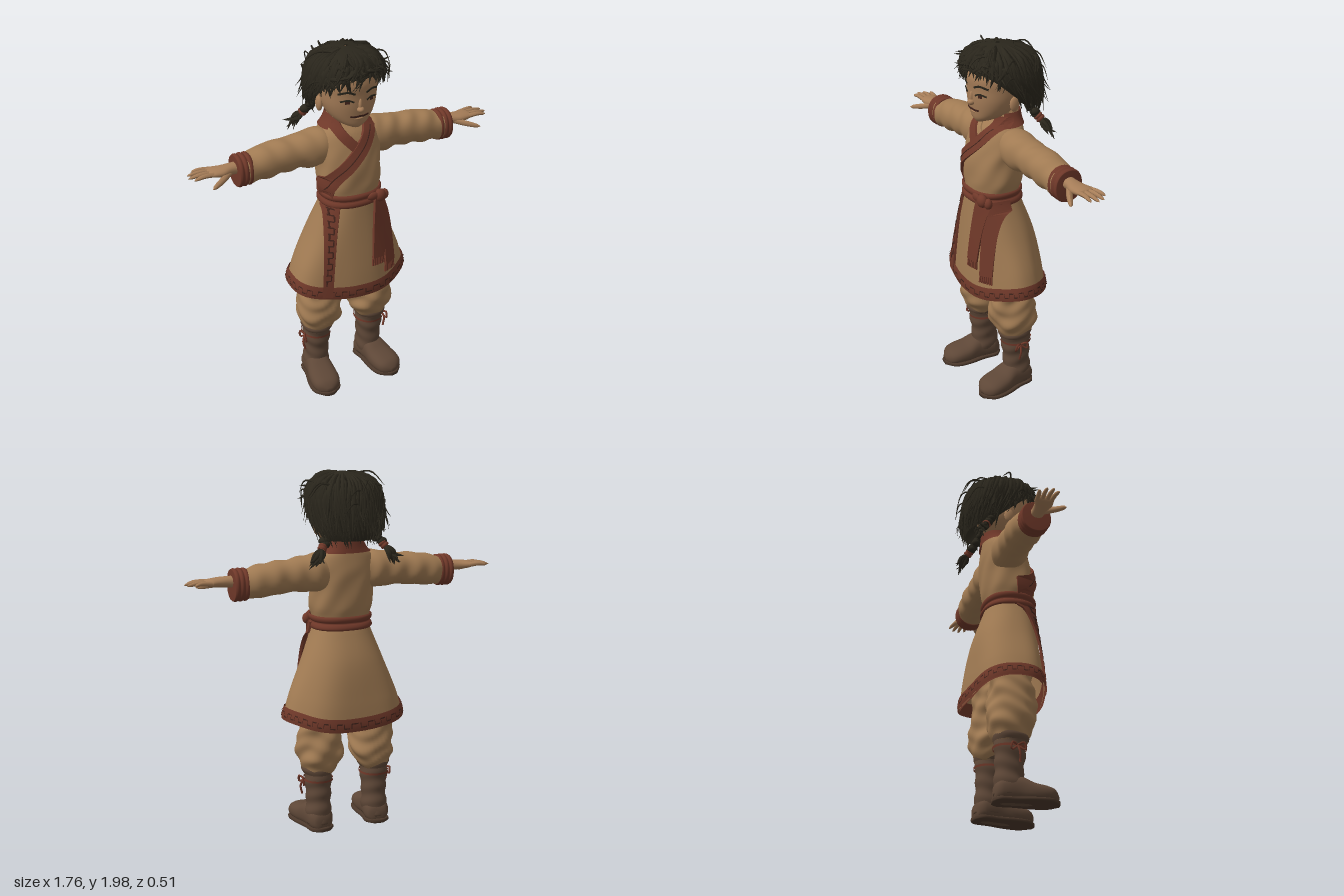
import * as THREE from 'three';
import { mergeGeometries, toCreasedNormals } from 'three/addons/utils/BufferGeometryUtils.js';

const V = (x, y, z) => new THREE.Vector3(x, y, z);
const mat = (name, color) => new THREE.MeshStandardMaterial({ name, color, side: THREE.DoubleSide });
const smooth = THREE.MathUtils.smoothstep;

// Grid of points fn(u, v); wrap closes it around u
function grid(fn, nu, nv, wrap = false) {
  const pos = [], idx = [], w = wrap ? nu : nu + 1;
  for (let j = 0; j <= nv; j++) for (let i = 0; i < w; i++) pos.push(...fn(i / nu, j / nv).toArray());
  for (let j = 0; j < nv; j++) for (let i = 0; i < nu; i++) {
    const k = (i + 1) % w, a = j * w + i, b = j * w + k, c = a + w, d = b + w;
    idx.push(a, c, b, b, c, d);
  }
  const g = new THREE.BufferGeometry();
  g.setAttribute('position', new THREE.Float32BufferAttribute(pos, 3));
  g.setIndex(idx);
  g.computeVertexNormals();
  return g;
}

// Upright surface from rows [y, rx, rz, cx, cz], with fold and lift rules
function surface(rows, fold = () => 0, lift = () => 0, n = 2.15) {
  const n1 = rows.length - 1;
  const slope = (i, k) => {
    const a = rows[Math.max(i - 1, 0)], b = rows[Math.min(i + 1, n1)];
    return (b[k] - a[k]) / (b[0] - a[0]);
  };
  const sample = (y, k) => {
    let i = 0;
    while (i < n1 - 1 && y > rows[i + 1][0]) i++;
    const h = rows[i + 1][0] - rows[i][0], t = THREE.MathUtils.clamp((y - rows[i][0]) / h, 0, 1), s = 1 - t;
    return rows[i][k] * (1 + 2 * t) * s * s + rows[i + 1][k] * t * t * (3 - 2 * t)
      + h * (slope(i, k) * t * s * s - slope(i + 1, k) * t * t * s);
  };
  const pw = c => Math.sign(c) * Math.abs(c) ** (2 / n);
  const at = (a, y, off = 0) => {
    const r = off + fold(a, y);
    return V(sample(y, 3) + (sample(y, 1) + r) * pw(Math.cos(a)), y + lift(a, y),
      sample(y, 4) + (sample(y, 2) + r) * pw(Math.sin(a)));
  };
  const front = (x, y, off = 0) => {
    let lo = 0, hi = Math.PI;
    for (let i = 0; i < 24; i++) {
      const m = (lo + hi) / 2;
      if (at(m, y - lift(m, y)).x > x) lo = m; else hi = m;
    }
    return at(lo, y - lift(lo, y), off);
  };
  const y0 = rows[0][0], y1 = rows[n1][0];
  const band = (ya, yb, off, nv = 4, a0 = 0, a1 = Math.PI * 2, nu = 64) =>
    grid((u, v) => at(a0 + (a1 - a0) * u, ya + (yb - ya) * v, typeof off === 'function' ? off(v) : off), nu, nv, a1 - a0 > 6.28);
  const solid = (nu = 32, nv = 28) => grid((u, v) => {
    const j = Math.round(v * (nv + 2)) - 1, y = y0 + (y1 - y0) * THREE.MathUtils.clamp(j / nv, 0, 1);
    return j < 0 || j > nv ? V(sample(y, 3), y, sample(y, 4)) : at(u * Math.PI * 2, y);
  }, nu, nv + 2, true);
  return { at, front, band, solid };
}

// Raised ribbon following a front path [x, y] on a surface
function ribbon(surf, path, hw, off, thick = 0.012, steps = 24) {
  const c = new THREE.CatmullRomCurve3(path.map(p => V(p[0], p[1], 0)));
  const prof = [[-1, 0], [-1, 1], [0, 1], [1, 1], [1, 0]];
  return toCreasedNormals(grid((u, v) => {
    const p = c.getPoint(v), t = c.getTangent(v), [s, h] = prof[Math.round(u * 4)];
    return surf.front(p.x - t.y * hw * s, p.y + t.x * hw * s, off + thick * h);
  }, 4, steps), 0.7);
}

// Tube whose radius follows r(t)
function limb(points, r, seg = 10, sides = 6) {
  const c = new THREE.CatmullRomCurve3(points), g = new THREE.TubeGeometry(c, seg, 1, sides), p = g.attributes.position;
  for (let i = 0; i < p.count; i++) {
    const t = Math.floor(i / (sides + 1)) / seg, o = c.getPointAt(t);
    const q = V(p.getX(i), p.getY(i), p.getZ(i)).sub(o).multiplyScalar(r(t)).add(o);
    p.setXYZ(i, q.x, q.y, q.z);
  }
  g.deleteAttribute('uv');
  g.computeVertexNormals();
  return g;
}
const ball = (x, y, z, sx, sy, sz) => new THREE.SphereGeometry(1, 20, 14).scale(sx, sy, sz).translate(x, y, z);
const lockR = r => t => r * Math.min(1, 0.3 + t * 4) * Math.max(0.03, 1 - t ** 2.5);
const fingerR = r => t => r * Math.sqrt(Math.max(0.001, 1 - t ** 6)) * (1 - 0.25 * t);

export function createModel() {
  const root = new THREE.Group();
  const cloth = mat('tan cloth', 0xa17b53), skin = mat('skin', 0xa67d58), red = mat('russet trim', 0x6f3829);
  const dark = mat('dark pattern', 0x40231b), boot = mat('brown leather', 0x5e4737), hair = mat('dark hair', 0x2a261c);
  const sole = mat('sole', 0x4b382b);
  const add = (parent, name, geo, m) => {
    const mesh = new THREE.Mesh(Array.isArray(geo) ? mergeGeometries(geo) : geo, m);
    mesh.name = name;
    parent.add(mesh);
  };
  let seed = 7;
  const rnd = (a, b) => { seed = (seed * 16807) % 2147483647; return a + (b - a) * seed / 2147483647; };

  // Robe, from hem to neck
  const robe = surface([
    [0.60, 0.338, 0.20, -0.005, 0], [0.75, 0.298, 0.192, -0.003, 0.003], [0.95, 0.228, 0.172, 0, 0.012],
    [1.12, 0.163, 0.138, 0, 0.033], [1.17, 0.152, 0.128, 0, 0.038], [1.25, 0.172, 0.138, 0, 0.032],
    [1.35, 0.172, 0.14, 0, 0.024], [1.45, 0.178, 0.128, 0, 0.008], [1.53, 0.155, 0.108, 0, -0.005],
    [1.57, 0.11, 0.088, 0, -0.02], [1.61, 0.085, 0.076, 0, -0.03]],
  (a, y) => 0.007 * Math.sin(5 * a + 1) * smooth(1.1 - y, 0, 0.4) + 0.003 * Math.sin(7 * a + y * 25) * smooth(y, 1.18, 1.26) * smooth(1.5 - y, 0, 0.1),
  (a, y) => 0.05 * Math.cos(a) ** 2 * smooth(1.0 - y, 0, 0.4), 2.3);
  add(root, 'robe', robe.band(0.6, 1.61, 0, 60), cloth);
  add(root, 'hem trim', [robe.band(0.592, 0.665, v => 0.008 + 0.004 * Math.sin(v * Math.PI)), robe.band(0.592, 0.665, -0.004)], red);
  add(root, 'back collar', robe.band(1.55, 1.615, 0.012, 4, -Math.PI - 0.5, 0.5, 40), red);
  add(root, 'under lapel', ribbon(robe, [[-0.088, 1.6], [-0.075, 1.54], [-0.03, 1.48], [0.02, 1.43]], 0.026, 0.001), red);
  add(root, 'inner collar', ribbon(robe, [[-0.035, 1.59], [-0.015, 1.54], [0.025, 1.5]], 0.012, 0.001, 0.008), cloth);
  add(root, 'front lapel', ribbon(robe, [[0.088, 1.6], [0.085, 1.55], [0.035, 1.47], [-0.055, 1.38], [-0.125, 1.31], [-0.16, 1.24], [-0.165, 1.19]], 0.033, 0.004, 0.014), red);
  add(root, 'lapel seam', ribbon(robe, [[0.085, 1.55], [0.035, 1.47], [-0.055, 1.38], [-0.125, 1.31], [-0.16, 1.24]], 0.002, 0.018, 0.003), dark);
  add(root, 'skirt placket', ribbon(robe, [[-0.132, 1.14], [-0.155, 1.0], [-0.178, 0.8], [-0.195, 0.62]], 0.027, 0.003), red);

  // Stepped key pattern on hem and placket
  const marks = [];
  for (let i = 0; i < 56; i++) {
    const a = i / 56 * Math.PI * 2, y = i % 2 ? 0.612 : 0.636;
    marks.push(robe.band(y, y + 0.007, 0.0145, 1, a, a + 0.085, 3), robe.band(0.614, 0.642, 0.0145, 1, a + 0.08, a + 0.09, 1));
  }
  add(root, 'hem pattern', marks, dark);
  const steps = [];
  for (let i = 0; i < 13; i++) {
    const y = 0.69 + i * 0.034, x = -0.187 + (y - 0.69) * 0.117, s = i % 2 ? 0.01 : -0.01;
    steps.push(ribbon(robe, [[x + s, y], [x + s + 0.003, y + 0.028]], 0.003, 0.015, 0.003, 2),
      ribbon(robe, [[x - 0.012, y + 0.031], [x + 0.014, y + 0.031]], 0.003, 0.015, 0.003, 2));
  }
  add(root, 'placket pattern', steps, dark);

  // Sash with knot, two tails and fringes
  add(root, 'sash', robe.band(1.13, 1.205, v => 0.006 + 0.012 * Math.abs(Math.sin(v * Math.PI * 2)) ** 0.6, 16), red);
  add(root, 'sash knot', [ball(0.115, 1.168, 0.17, 0.035, 0.036, 0.028), ball(0.07, 1.175, 0.178, 0.035, 0.022, 0.014), ball(0.15, 1.16, 0.155, 0.024, 0.03, 0.022)], red);
  const tails = [[0.098, 0.078, 0.82, 0.02], [0.128, 0.163, 0.75, 0.012]];
  tails.forEach(([x0, x1, y1, off]) => {
    add(root, 'sash tail', ribbon(robe, [[x0, 1.16], [(x0 + x1) / 2, 1.02], [x1, y1]], 0.033, off, 0.014), red);
    for (let i = -3; i <= 3; i++)
      add(root, 'sash fringe', ribbon(robe, [[x1 + i * 0.0095, y1 + 0.005], [x1 + i * 0.011, y1 - 0.045]], 0.0035, off, 0.009, 3), red);
  });

  // Arms: sleeve, ridged cuff and hand, built upright then laid along x
  const lay = g => g.rotateZ(-Math.PI / 2);
  const sleeve = surface([[0.08, 0.09, 0.085, -1.44, -0.01], [0.17, 0.102, 0.098, -1.443, -0.01], [0.3, 0.088, 0.088, -1.437, -0.015],
    [0.45, 0.088, 0.09, -1.424, -0.018], [0.55, 0.08, 0.08, -1.41, -0.014], [0.6, 0.075, 0.074, -1.408, -0.012]],
  (a, x) => 0.005 * Math.sin(x * 55 + 2 * Math.sin(a + 0.5)) * (0.6 + 0.4 * Math.sin(a * 3)));
  const cuff = surface([[0.55, 0.08, 0.074, -1.408, -0.012], [0.59, 0.082, 0.076, -1.408, -0.012], [0.63, 0.081, 0.076, -1.407, -0.012]],
    (a, x) => 0.006 * Math.abs(Math.sin((x - 0.55) / 0.08 * Math.PI * 3)));
  const palm = surface([[0.6, 0.032, 0.036, -1.425, -0.01], [0.65, 0.029, 0.036, -1.427, -0.008], [0.7, 0.026, 0.046, -1.427, -0.004],
    [0.745, 0.021, 0.05, -1.428, -0.012], [0.775, 0.013, 0.046, -1.429, -0.015]]);
  const digits = [[-0.05, -0.072, 0.842], [-0.026, -0.04, 0.875], [-0.002, -0.006, 0.882], [0.02, 0.028, 0.862]];
  // Legs: puffed trousers, boots with soles and side ties
  const trouser = surface([[0.32, 0.07, 0.075, 0.165, -0.015], [0.36, 0.095, 0.1, 0.16, -0.012], [0.42, 0.122, 0.125, 0.155, -0.006],
    [0.5, 0.122, 0.128, 0.155, 0], [0.6, 0.113, 0.12, 0.15, 0], [0.75, 0.1, 0.11, 0.13, 0]],
  (a, y) => 0.007 * Math.sin(4 * a + y * 28) * smooth(y, 0.34, 0.42) + 0.004 * Math.sin(y * 70 + 3 * Math.sin(a * 2)));
  const shaft = surface([[0.04, 0.068, 0.08, 0.172, -0.02], [0.1, 0.07, 0.08, 0.17, -0.02], [0.17, 0.066, 0.074, 0.168, -0.02], [0.26, 0.072, 0.08, 0.168, -0.015], [0.36, 0.078, 0.086, 0.168, -0.012]],
    (a, y) => 0.003 * Math.sin(y * 75 + 2 * Math.sin(a)));
  const foot = surface([[-0.1, 0.045, 0.04, 0, -0.05], [-0.07, 0.068, 0.062, 0, -0.062], [0.03, 0.07, 0.072, 0, -0.07],
    [0.1, 0.08, 0.056, 0, -0.056], [0.17, 0.078, 0.046, 0, -0.05], [0.21, 0.058, 0.036, 0, -0.044], [0.23, 0.02, 0.014, 0, -0.038]], undefined, undefined, 2.4);
  const tread = surface([[-0.108, 0.035, 0.012, 0, -0.0125], [-0.08, 0.068, 0.0125, 0, -0.0125], [0.0, 0.071, 0.0125, 0, -0.0125],
    [0.11, 0.086, 0.0125, 0, -0.0125], [0.19, 0.075, 0.0125, 0, -0.0125], [0.235, 0.025, 0.012, 0, -0.0125]], undefined, undefined, 4);

  for (const s of [1, -1]) {
    const arm = new THREE.Group(), leg = new THREE.Group();
    arm.name = s > 0 ? 'leftArm' : 'rightArm';
    leg.name = s > 0 ? 'leftLeg' : 'rightLeg';
    arm.scale.x = leg.scale.x = s;
    leg.position.x = -0.012;
    root.add(arm, leg);
    add(arm, 'sleeve', lay(sleeve.solid(32, 50)), cloth);
    add(arm, 'cuff', lay(cuff.solid(32, 24)), red);
    add(arm, 'palm', lay(palm.solid(20, 16)), skin);
    digits.forEach(([z0, z1, x1]) => add(arm, 'finger', limb([V(0.74, 1.428, z0), V(0.81, 1.433, (z0 + z1) / 2), V(x1, 1.424, z1)], fingerR(0.0135), 10, 8), skin));
    add(arm, 'thumb', limb([V(0.665, 1.42, 0.012), V(0.72, 1.405, 0.052), V(0.79, 1.387, 0.092)], fingerR(0.018), 10, 8), skin);

    add(leg, 'trouser leg', trouser.solid(40, 40), cloth);
    add(leg, 'boot shaft', shaft.solid(28, 32), boot);
    add(leg, 'boot top', shaft.band(0.325, 0.365, v => 0.004 + 0.006 * Math.sin(v * Math.PI)), boot);
    for (const [name, sf, m] of [['boot foot', foot, boot], ['boot sole', tread, sole]])
      add(leg, name, sf.solid(28, 24).rotateX(Math.PI / 2).rotateY(0.13).translate(0.176, 0, 0), m);
    const tie = (...p) => limb(p.map(q => V(...q)), () => 0.006, 10, 6);
    add(leg, 'boot tie', [shaft.band(0.285, 0.297, 0.006, 1),
      tie([0.245, 0.29, 0], [0.262, 0.3, 0.03], [0.258, 0.265, 0.04], [0.245, 0.285, 0]),
      tie([0.245, 0.29, 0], [0.262, 0.3, -0.03], [0.258, 0.26, -0.035], [0.245, 0.285, 0]),
      tie([0.247, 0.29, 0], [0.262, 0.25, 0.008], [0.252, 0.2, 0.012])], red);
  }

  // Head and face
  add(root, 'neck', new THREE.CylinderGeometry(0.056, 0.062, 0.18, 24).translate(0, 1.57, 0), skin);
  const head = surface([[1.572, 0.025, 0.03, 0, 0.1], [1.59, 0.068, 0.068, 0, 0.075], [1.63, 0.113, 0.108, 0, 0.042], [1.69, 0.144, 0.14, 0, 0.018],
    [1.75, 0.155, 0.152, 0, 0.008], [1.82, 0.155, 0.155, 0, 0.008], [1.9, 0.125, 0.13, 0, 0], [1.95, 0.04, 0.05, 0, 0]]);
  add(root, 'head', head.solid(40, 36), skin);
  add(root, 'nose', [ball(0, 1.683, 0.16, 0.019, 0.016, 0.023), ball(0, 1.708, 0.157, 0.011, 0.034, 0.013)], skin);
  add(root, 'lower lip', ball(0, 1.628, 0.142, 0.03, 0.008, 0.012), skin);
  add(root, 'mouth', ribbon(head, [[-0.05, 1.645], [-0.02, 1.642], [0, 1.644], [0.02, 1.642], [0.05, 1.645]], 0.0045, 0.001, 0.004), dark);
  for (const s of [1, -1]) {
    add(root, 'ear', ball(s * 0.152, 1.685, -0.005, 0.016, 0.042, 0.028), skin);
    add(root, 'eyelid', ribbon(head, [[s * 0.035, 1.727], [s * 0.065, 1.739], [s * 0.1, 1.731]], 0.004, 0.001, 0.004), hair);
    add(root, 'eye', ribbon(head, [[s * 0.056, 1.727], [s * 0.078, 1.727]], 0.009, 0, 0.003), dark);
    add(root, 'eyebrow', ribbon(head, [[s * 0.03, 1.77], [s * 0.07, 1.783], [s * 0.11, 1.772]], 0.005, 0.001, 0.004), hair);
  }

  // Hair: cap with a raised front edge, covered by layered locks
  const cap = surface([[1.6, 0.115, 0.095, 0, -0.1], [1.66, 0.158, 0.128, 0, -0.085], [1.75, 0.187, 0.175, 0, -0.045], [1.85, 0.19, 0.19, 0, -0.015],
    [1.92, 0.155, 0.165, 0, -0.005], [1.958, 0.09, 0.1, 0, 0], [1.972, 0.01, 0.01, 0, 0]]);
  const edge = a => 1.625 + 0.225 * smooth(Math.sin(a), -0.25, 0.95);
  add(root, 'hair cap', grid((u, v) => {
    const a = u * Math.PI * 2, y = edge(a);
    return cap.at(a, y + (1.972 - y) * Math.sin(v * Math.PI / 2));
  }, 48, 24, true), hair);
  const locks = [];
  for (let i = 0; i < 260; i++) {
    const a = i * 2.39996, wisp = i % 6 === 0, drift = rnd(-0.3, 0.3), ys = rnd(1.86, 1.969);
    const fringe = Math.sin(a) > 0.4 ? (Math.cos(a) < 0.1 ? 0.045 : 0.01) : 0.015;
    const ye = edge(a) - fringe + rnd(-0.02, 0.07) + (i % 4 === 0 ? 0.06 : 0), pts = [];
    for (let k = 0; k <= 5; k++) {
      const t = k / 5;
      pts.push(cap.at(a + drift * t * t, ys + (ye - ys) * t ** 1.3, 0.004 + (wisp ? 0.05 : 0.022) * t ** 4));
    }
    locks.push(limb(pts, lockR(wisp ? 0.006 : rnd(0.011, 0.017)), 10, 5));
  }
  // Loose wisps at crown and sides
  for (let i = 0; i < 16; i++) {
    const a = rnd(0, 6.28), y = rnd(1.8, 1.96), p = cap.at(a, y, 0), q = cap.at(a + 0.25, y - 0.02, 0.03), e = cap.at(a + 0.5, y - 0.07, 0.045);
    q.y += 0.025;
    locks.push(limb([p, q, e], lockR(0.005), 8, 4));
  }
  add(root, 'hair locks', locks, hair);

  // Braids with ties and loose ends
  for (const s of [1, -1]) {
    const path = new THREE.CatmullRomCurve3([V(s * 0.125, 1.68, -0.09), V(s * 0.165, 1.605, -0.135), V(s * 0.215, 1.545, -0.175)]);
    const beads = [];
    for (let i = 0; i < 5; i++) {
      const p = path.getPoint(i * 0.12);
      beads.push(ball(p.x + (i % 2 ? 0.006 : -0.006), p.y, p.z, 0.028, 0.022, 0.026));
    }
    add(root, 'braid', beads, hair);
    add(root, 'braid tie', limb([0.5, 0.6, 0.7].map(t => path.getPoint(t)), t => 0.021 + 0.004 * Math.abs(Math.sin(t * 6.28)), 10, 12), red);
    const ends = [];
    for (let i = 0; i < 11; i++)
      ends.push(limb([path.getPoint(0.66), path.getPoint(0.9).add(V(rnd(-0.02, 0.02), rnd(-0.01, 0.01), rnd(-0.02, 0.02))),
        V(s * rnd(0.19, 0.27), rnd(1.48, 1.54), rnd(-0.22, -0.165))], lockR(0.013), 8, 5));
    add(root, 'braid end', ends, hair);
  }
  return root;
}
